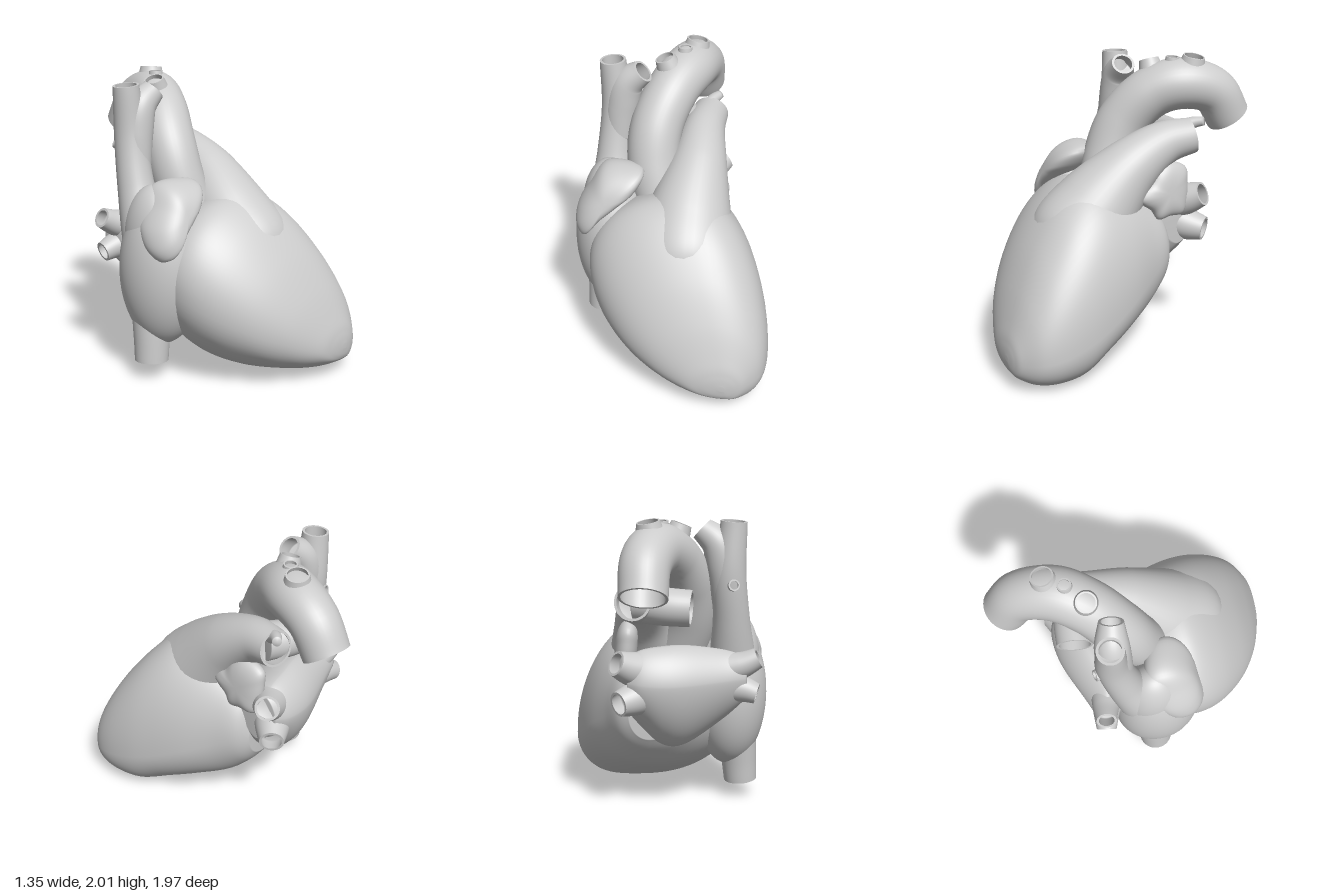
import * as THREE from 'three';

const muscle = new THREE.MeshStandardMaterial({ color: 0xcccccc });
muscle.name = 'heart grey';

const V = (x, y, z) => new THREE.Vector3(x, y, z);

// Closed skin over a list of equal rings; faces are turned outward.
function skin(rings) {
  const n = rings[0].length, pos = [], idx = [];
  const mid = (r) => r.reduce((s, p) => s.add(p), V(0, 0, 0)).divideScalar(n);
  const all = [rings[0].map(() => mid(rings[0])), ...rings, rings[0].map(() => mid(rings.at(-1)))];
  all.forEach((r) => r.forEach((p) => pos.push(p.x, p.y, p.z)));
  for (let i = 0; i < all.length - 1; i++) {
    for (let j = 0; j < n; j++) {
      const a = i * n + j, b = i * n + ((j + 1) % n), c = a + n, d = b + n;
      idx.push(a, b, c, b, d, c);
    }
  }
  const at = (i) => V(pos[3 * i], pos[3 * i + 1], pos[3 * i + 2]);
  let volume = 0;
  for (let i = 0; i < idx.length; i += 3) volume += at(idx[i]).dot(at(idx[i + 1]).cross(at(idx[i + 2])));
  if (volume < 0) idx.reverse();
  const g = new THREE.BufferGeometry();
  g.setAttribute('position', new THREE.Float32BufferAttribute(pos, 3));
  g.setIndex(idx);
  g.computeVertexNormals();
  return g;
}

// Vessel along points [x, y, z, radius]; open ends get a rim and a hollow.
function vessel(points, { openStart = false, openEnd = true, steps = 40, wall = 0.016, depth = 0.12 } = {}) {
  const curve = new THREE.CatmullRomCurve3(points.map((p) => V(p[0], p[1], p[2])));
  const radii = new THREE.CatmullRomCurve3(points.map((p, i) => V(i, p[3], 0)), false, 'catmullrom', 0.5);
  const frames = curve.computeFrenetFrames(steps, false);
  const ring = (i, inset = 0) => {
    const u = i / steps, c = curve.getPointAt(u);
    const r = radii.getPoint(curve.getUtoTmapping(u)).y - inset;
    return Array.from({ length: 36 }, (_, j) => {
      const a = (j / 36) * Math.PI * 2;
      return c.clone().addScaledVector(frames.normals[i], r * Math.cos(a)).addScaledVector(frames.binormals[i], r * Math.sin(a));
    });
  };
  const back = Math.min(Math.floor(steps * 0.45), Math.ceil((depth / curve.getLength()) * steps));
  const rings = [];
  if (openStart) {
    for (let i = back; i >= 0; i--) rings.push(ring(i, wall));
    rings.push(ring(0, wall), ring(0));
  }
  for (let i = 0; i <= steps; i++) rings.push(ring(i));
  if (openEnd) {
    rings.push(ring(steps), ring(steps, wall));
    for (let i = steps; i >= steps - back; i--) rings.push(ring(i, wall));
  }
  return skin(rings);
}

// Organ wall from slices [s, uMin, vAtMin, uTop, vTop, uMax, vAtMax, uBottom, vBottom].
// The power sets how square (above 2) or pointed (below 2) a slice is.
function chamber(rows, power, place, fine = 8) {
  const rings = [];
  const row = (i) => rows[Math.max(0, Math.min(rows.length - 1, i))];
  const bend = (x) => Math.sign(x) * Math.pow(Math.abs(x), 2 / power);
  for (let k = 0; k <= (rows.length - 1) * fine; k++) {
    const i = Math.min(Math.floor(k / fine), rows.length - 2), t = k / fine - i;
    const [s, ul, vl, ut, vt, ur, vr, ub, vb] = row(i).map((b, m) => {
      const a = row(i - 1)[m], c = row(i + 1)[m], d = row(i + 2)[m];
      return b + 0.5 * t * (c - a + t * (2 * a - 5 * b + 4 * c - d + t * (3 * (b - c) + d - a)));
    });
    rings.push(Array.from({ length: 72 }, (_, j) => {
      const a = (j / 72) * Math.PI * 2, c = bend(Math.cos(a)), q = bend(Math.sin(a));
      const uc = q > 0 ? ut : ub, vc = c > 0 ? vr : vl;
      return place(s, uc + (c > 0 ? ur - uc : uc - ul) * c, vc + (q > 0 ? vt - vc : vc - vb) * q);
    }));
  }
  return skin(rings);
}

// Puffed leaf from a closed outline.
function pillow(outline, thick, place) {
  const curve = new THREE.CatmullRomCurve3(outline.map(([u, v]) => V(u, v, 0)), true);
  const edge = curve.getSpacedPoints(64).slice(0, 64);
  const c = edge.reduce((s, p) => s.add(p), V(0, 0, 0)).divideScalar(64);
  const rings = [];
  for (let k = 1; k < 24; k++) {
    const a = (k / 24 - 0.5) * Math.PI, f = Math.pow(Math.cos(a), 0.7);
    rings.push(edge.map((p) => place(c.x + (p.x - c.x) * f, c.y + (p.y - c.y) * f, thick * Math.sin(a))));
  }
  return skin(rings);
}

export function createModel() {
  const heart = new THREE.Group();
  heart.name = 'heart';
  const add = (name, geometry) => {
    const mesh = new THREE.Mesh(geometry, muscle);
    mesh.name = name;
    heart.add(mesh);
    return mesh;
  };

  // Ventricles, sliced from apex to back
  add('ventricles', chamber([
    [0.99, 0.34, 0.21, 0.36, 0.23, 0.38, 0.21, 0.37, 0.19],
    [0.98, 0.22, 0.22, 0.35, 0.3, 0.45, 0.21, 0.39, 0.13],
    [0.95, 0.09, 0.25, 0.33, 0.4, 0.52, 0.21, 0.42, 0.09],
    [0.85, -0.13, 0.36, 0.27, 0.63, 0.625, 0.23, 0.45, 0.04],
    [0.7, -0.33, 0.47, 0.2, 0.88, 0.67, 0.26, 0.44, 0.01],
    [0.5, -0.49, 0.6, 0.14, 1.11, 0.665, 0.32, 0.36, 0.0],
    [0.3, -0.56, 0.7, 0.1, 1.23, 0.62, 0.4, 0.18, 0.055],
    [0.1, -0.53, 0.72, 0.1, 1.2, 0.55, 0.5, 0.12, 0.14],
    [-0.1, -0.42, 0.7, 0.12, 1.1, 0.45, 0.6, 0.12, 0.25],
    [-0.25, -0.25, 0.68, 0.14, 0.97, 0.37, 0.68, 0.14, 0.4],
    [-0.32, -0.08, 0.67, 0.14, 0.82, 0.28, 0.67, 0.14, 0.5],
  ], 2.08, (s, u, v) => V(u, v, s)));

  // Left atrium, sliced from right to left
  add('leftAtrium', chamber([
    [-0.5, -0.43, 0.94, -0.36, 1.08, -0.28, 0.92, -0.36, 0.79],
    [-0.35, -0.48, 0.93, -0.33, 1.12, -0.1, 0.85, -0.28, 0.63],
    [-0.1, -0.57, 0.92, -0.38, 1.16, 0, 0.8, -0.28, 0.46],
    [0.06, -0.6, 0.92, -0.42, 1.16, 0, 0.8, -0.28, 0.46],
    [0.2, -0.59, 0.93, -0.44, 1.14, -0.1, 0.85, -0.32, 0.6],
    [0.29, -0.54, 0.94, -0.45, 1.09, -0.25, 0.9, -0.38, 0.72],
  ], 1.65, (s, u, v) => V(s, v, u)));

  // Right atrium with the roof below the upper great vein
  [
    ['rightAtrium', [0.26, 0.52, 0.3], [-0.42, 0.75, 0.01]],
    ['rightAtriumRoof', [0.19, 0.35, 0.23], [-0.435, 0.99, -0.02]],
  ].forEach(([name, size, at]) => {
    const wall = add(name, new THREE.SphereGeometry(1, 48, 36));
    wall.scale.set(...size);
    wall.position.set(...at);
  });

  // Auricles
  add('rightAuricle', pillow(
    [[-0.655, 0.95], [-0.645, 1.07], [-0.56, 1.22], [-0.46, 1.35], [-0.3, 1.37], [-0.19, 1.34], [-0.23, 1.24], [-0.36, 1.12], [-0.5, 1.0], [-0.61, 0.89]],
    0.17, (u, v, w) => V(u, v, 0.13 + w - 0.38 * (v - 1.13) + 0.2 * (u + 0.42))));
  add('leftAuricle', pillow(
    [[0.04, 1.1], [0.08, 1.16], [0.13, 1.19], [0.2, 1.28], [0.29, 1.32], [0.43, 1.27], [0.44, 1.18], [0.43, 1.06], [0.39, 0.95], [0.28, 0.945], [0.19, 0.935], [0.15, 1.0], [0.07, 1.06]],
    0.075, (u, v, w) => V(0.295 + w - 0.1 * (v - 1.13), v, -u)));

  // Pulmonary trunk flowing out of the ventricles, and its branches
  add('pulmonaryTrunk', vessel([
    [0.1, 0.6, 0.5, 0.18], [0.1, 0.82, 0.34, 0.325], [0.12, 1.06, 0.15, 0.285], [0.17, 1.3, -0.08, 0.2],
    [0.2, 1.43, -0.31, 0.15], [0.25, 1.47, -0.505, 0.122],
  ], { steps: 56 }));
  add('rightPulmonaryArtery', vessel([[0.2, 1.44, -0.36, 0.13], [0.05, 1.43, -0.44, 0.125], [-0.13, 1.42, -0.47, 0.12]]));
  add('arterialLigament', vessel([[0.22, 1.53, -0.45, 0.05], [0.26, 1.56, -0.51, 0.04], [0.31, 1.575, -0.56, 0.03]], { openEnd: false, steps: 12 }));

  // Aorta with three arch branches
  add('aorta', vessel([
    [-0.06, 0.95, 0.03, 0.17], [-0.135, 1.3, -0.08, 0.18], [-0.115, 1.54, -0.18, 0.18], [-0.01, 1.735, -0.34, 0.177],
    [0.1, 1.8, -0.52, 0.177], [0.17, 1.735, -0.73, 0.163], [0.185, 1.55, -0.85, 0.155],
  ], { steps: 64, depth: 0.3 }));
  [
    [[-0.01, 1.8, -0.36], [-0.07, 1.955, -0.355], 0.068],
    [[0.06, 1.82, -0.45], [0.065, 1.985, -0.46], 0.046],
    [[0.12, 1.82, -0.56], [0.15, 1.99, -0.58], 0.075],
  ].forEach(([a, b, r], i) => add(`archBranch${i + 1}`, vessel([[...a, r * 1.5], [...b, r]], { steps: 16, wall: 0.01, depth: 0.06 })));

  // Great veins
  add('venaCava', vessel([
    [-0.415, 1.965, -0.29, 0.088], [-0.39, 1.62, -0.28, 0.11], [-0.41, 1.3, -0.22, 0.125], [-0.43, 1.0, -0.13, 0.155],
    [-0.46, 0.6, -0.05, 0.145], [-0.49, 0.3, -0.02, 0.125], [-0.505, 0.12, -0.01, 0.115],
  ], { openStart: true, steps: 70 }));
  add('venaCavaBranch', vessel([[-0.38, 1.42, -0.24, 0.1], [-0.355, 1.65, -0.26, 0.115], [-0.315, 1.81, -0.26, 0.11], [-0.21, 1.91, -0.235, 0.08]]));
  add('backVeinStub', vessel([[-0.39, 1.54, -0.3, 0.04], [-0.41, 1.56, -0.4, 0.038]], { steps: 10, wall: 0.01, depth: 0.03 }));

  // Pulmonary veins, two per side, flaring into the atrium
  [
    ['leftUpperVein', [0.08, 0.97, -0.36, 0.14], [0.25, 1.02, -0.46, 0.115], [0.36, 1.075, -0.53, 0.083]],
    ['leftLowerVein', [0.08, 0.88, -0.36, 0.14], [0.24, 0.83, -0.48, 0.115], [0.345, 0.81, -0.56, 0.083]],
    ['rightUpperVein', [-0.3, 0.97, -0.31, 0.12], [-0.47, 1.02, -0.36, 0.09], [-0.58, 1.075, -0.38, 0.068]],
    ['rightLowerVein', [-0.3, 0.88, -0.31, 0.12], [-0.47, 0.86, -0.36, 0.09], [-0.57, 0.83, -0.385, 0.068]],
  ].forEach(([name, ...path]) => add(name, vessel(path, { steps: 24, depth: 0.09 })));

  return heart;
}
